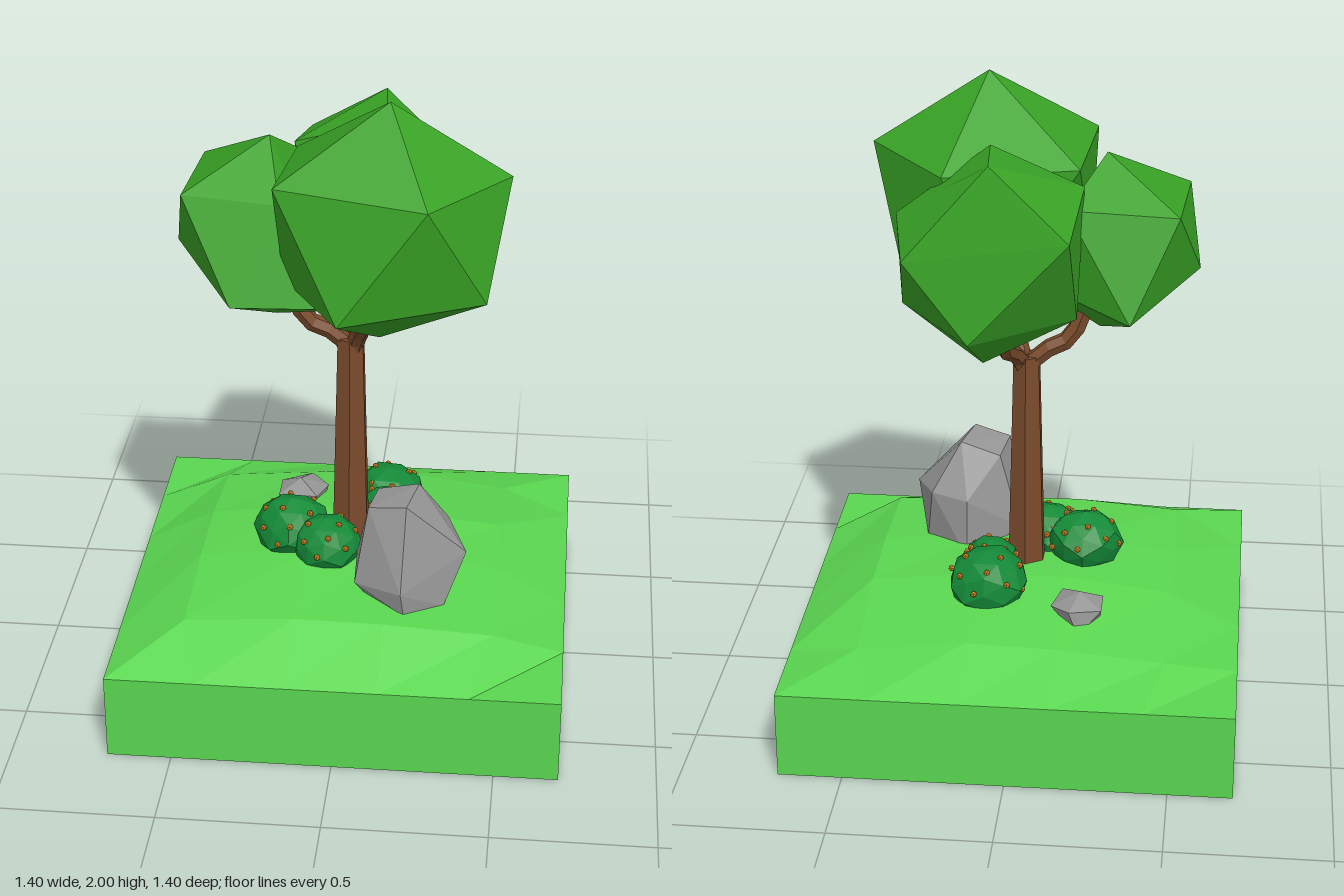
import * as THREE from 'three';
import { ConvexGeometry } from 'three/addons/geometries/ConvexGeometry.js';

const mat = (color) => new THREE.MeshStandardMaterial({ color, flatShading: true });
const grass = mat(0x5ad650), bark = mat(0x7a4b2c), leaf = mat(0x38a225);
const bushGreen = mat(0x148a38), berryOrange = mat(0xd88a22), stone = mat(0x959595);
grass.side = THREE.DoubleSide;

const vec = (p) => new THREE.Vector3(...p);

function add(parent, name, geometry, material) {
  const mesh = new THREE.Mesh(geometry, material);
  mesh.name = name;
  parent.add(mesh);
  return mesh;
}

// Faceted solid spanned by a few corner points
const hull = (parent, name, points, material) =>
  add(parent, name, new ConvexGeometry(points.map(vec)), material);

// Square island: open-bottomed walls under a gently mounded 5 x 5 top
function makeGround(parent) {
  const ground = new THREE.Group();
  ground.name = 'ground';
  parent.add(ground);
  const walls = new THREE.CylinderGeometry(0.7 * Math.SQRT2, 0.7 * Math.SQRT2, 0.28, 4, 1, true);
  walls.rotateY(Math.PI / 4).translate(0, 0.14, 0);
  add(ground, 'groundWalls', walls, grass);

  const top = new THREE.PlaneGeometry(1.4, 1.4, 5, 5).rotateX(-Math.PI / 2);
  const pos = top.attributes.position;
  for (let k = 0; k < pos.count; k++) {
    const i = k % 6, j = Math.floor(k / 6);
    const ring = (n) => Math.min(n, 5 - n);
    const inset = Math.min(ring(i), ring(j));
    if (inset === 0) { pos.setY(k, 0.28); continue; }
    let y = inset === 2 ? 0.43 : 0.4;
    if (ring(i) + ring(j) === 2) y = 0.37;
    if (j === 1) y -= 0.03;
    if (ring(i) === 1) pos.setX(k, pos.getX(k) * 1.14);
    if (ring(j) === 1) pos.setZ(k, pos.getZ(k) * 1.17);
    pos.setY(k, y + 0.006 * Math.sin(k * 2.3));
  }
  add(ground, 'groundTop', top, grass);
}

// Six-sided trunk with three curved branches
function makeTrunk(parent) {
  const trunk = add(parent, 'trunk', new THREE.CylinderGeometry(0.046, 0.066, 0.77, 6), bark);
  trunk.position.set(-0.005, 0.755, 0);
  const branches = [
    [[0, 1.08, 0], [-0.05, 1.15, 0], [-0.14, 1.2, 0.01], [-0.2, 1.34, 0.02]],
    [[0, 1.08, 0], [0.02, 1.16, 0.03], [0.04, 1.21, 0.08], [0.05, 1.38, 0.11]],
    [[0, 1.08, 0], [0.02, 1.15, -0.03], [0.05, 1.2, -0.11], [0.06, 1.34, -0.18]],
  ];
  for (const path of branches) {
    const curve = new THREE.CatmullRomCurve3(path.map(vec));
    add(parent, 'branch', new THREE.TubeGeometry(curve, 6, 0.029, 6), bark);
  }
}

// Three overlapping leaf masses
function makeCrown(parent) {
  const crown = new THREE.Group();
  crown.name = 'crown';
  parent.add(crown);
  hull(crown, 'foliageFront', [
    [0.13, 2, 0.2], [0.49, 1.77, 0.17], [0.26, 1.77, 0.475], [-0.2, 1.78, 0.36],
    [-0.17, 1.76, -0.03], [0.24, 1.76, -0.14], [0.43, 1.44, 0.36], [0, 1.41, 0.5],
    [-0.19, 1.42, 0.2], [0.08, 1.4, -0.1], [0.39, 1.42, 0.02], [0.1, 1.23, 0.18],
  ], leaf);
  hull(crown, 'foliageSide', [
    [-0.25, 1.81, 0.01], [-0.5, 1.67, 0.17], [-0.2, 1.66, 0.2], [-0.48, 1.67, -0.18],
    [-0.14, 1.68, -0.17], [-0.54, 1.45, 0], [-0.34, 1.37, 0.31], [0, 1.36, 0.27],
    [-0.34, 1.36, -0.28], [0, 1.42, -0.05], [-0.23, 1.23, 0.04],
  ], leaf);
  hull(crown, 'foliageBack', [
    [0.08, 1.855, -0.3], [-0.17, 1.67, -0.44], [0.13, 1.34, -0.43], [0.34, 1.555, -0.32],
    [0.37, 1.34, -0.1], [0.38, 1.64, -0.12], [-0.19, 1.74, -0.12], [-0.18, 1.37, -0.26],
    [0.1, 1.23, -0.29], [0.1, 1.84, -0.05], [-0.05, 1.32, 0.02], [0.2, 1.3, 0.04],
  ], leaf);
}

// Boulder and half-buried pebble
function makeRocks(parent) {
  hull(parent, 'boulder', [
    [0.08, 0.71, 0.32], [0.23, 0.735, 0.2], [0.2, 0.733, 0.35], [0.1, 0.7, 0.18],
    [0.385, 0.55, 0.29], [0.32, 0.58, 0.13], [0.2, 0.57, 0.09], [0.19, 0.47, 0.44],
    [0.04, 0.46, 0.36], [0.03, 0.45, 0.16], [0.32, 0.39, 0.36], [0.2, 0.39, 0.43],
    [0.34, 0.4, 0.17], [0.2, 0.37, 0.08], [0.1, 0.35, 0.3],
  ], stone);
  hull(parent, 'smallRock', [
    [-0.2, 0.46, -0.28], [-0.27, 0.42, -0.33], [-0.27, 0.42, -0.23], [-0.17, 0.43, -0.37],
    [-0.11, 0.42, -0.31], [-0.14, 0.43, -0.21], [-0.2, 0.35, -0.37], [-0.26, 0.35, -0.27],
    [-0.14, 0.35, -0.24],
  ], stone);
}

// Flattened bush lobe dotted with berries
function makeBush(parent, x, y, z, r, seed) {
  const bush = new THREE.Group();
  bush.name = 'bush';
  bush.position.set(x, y, z);
  parent.add(bush);
  const geometry = new THREE.IcosahedronGeometry(r, 1);
  const pos = geometry.attributes.position, p = new THREE.Vector3();
  for (let k = 0; k < pos.count; k++) {
    p.fromBufferAttribute(pos, k);
    const f = 1 + 0.07 * Math.sin(p.x / r * 7 + seed) * Math.cos(p.z / r * 6 + p.y / r * 5);
    pos.setXYZ(k, p.x * f, p.y * f * 0.85, p.z * f);
  }
  geometry.computeVertexNormals();
  add(bush, 'bushLeaves', geometry, bushGreen);
  for (let k = 0; k < 14; k++) {
    const h = 0.9 - k * 0.075, a = k * 2.4 + seed, w = Math.sqrt(1 - h * h) * r * 0.97;
    const berry = add(bush, 'berry', new THREE.IcosahedronGeometry(0.011, 0), berryOrange);
    berry.position.set(w * Math.cos(a), h * r * 0.83, w * Math.sin(a));
  }
}

export function createModel() {
  const model = new THREE.Group();
  model.name = 'treeIsland';
  makeGround(model);
  makeTrunk(model);
  makeCrown(model);
  makeRocks(model);
  makeBush(model, -0.07, 0.46, 0.13, 0.11, 0.5);
  makeBush(model, -0.19, 0.47, 0.05, 0.12, 2.1);
  makeBush(model, 0.1, 0.45, -0.21, 0.125, 3.7);
  makeBush(model, 0.1, 0.46, -0.1, 0.09, 5.2);
  return model;
}
